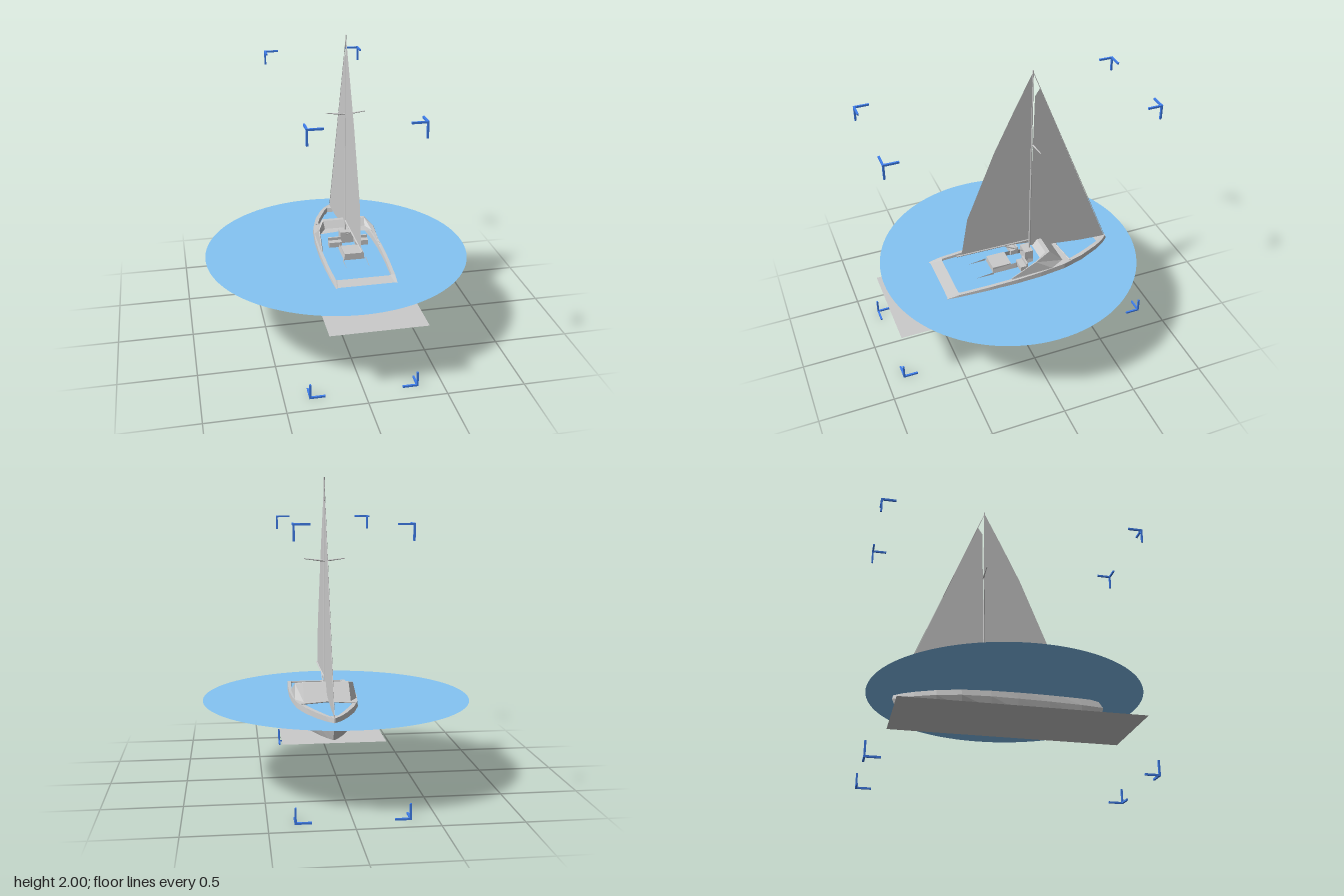
import * as THREE from 'three';

const material = (color) => new THREE.MeshStandardMaterial({ color, side: THREE.DoubleSide, flatShading: true });
const grey = material(0xcccccc);
const water = material(0x84c4f4);
const blue = material(0x4080f0);

function add(parent, name, geometry, mat = grey, pos = [0, 0, 0]) {
  const mesh = new THREE.Mesh(geometry, mat);
  mesh.name = name;
  mesh.position.set(...pos);
  parent.add(mesh);
  return mesh;
}

const box = (parent, name, size, pos, mat) => add(parent, name, new THREE.BoxGeometry(...size), mat, pos);

// Thin round bar between two points
function bar(parent, name, from, to, r1, r2 = r1) {
  const a = new THREE.Vector3(...from), b = new THREE.Vector3(...to);
  const dir = b.clone().sub(a);
  const mesh = add(parent, name, new THREE.CylinderGeometry(r2, r1, dir.length(), 8));
  mesh.position.copy(a).addScaledVector(dir, 0.5);
  mesh.quaternion.setFromUnitVectors(new THREE.Vector3(0, 1, 0), dir.normalize());
  return mesh;
}

// Mirror a half row of [x, y, z] points into a full row, +x side first
const mirrored = (half) => [...half, ...half.slice().reverse().map(([x, y, z]) => [-x, y, z])];

// Surface through rows of points
function loft(rows, closed = false) {
  const n = rows[0].length, index = [];
  for (let r = 0; r < rows.length - 1; r++) {
    for (let i = 0; i < (closed ? n : n - 1); i++) {
      const a = r * n + i, b = r * n + (i + 1) % n;
      index.push(a, b, a + n, b, b + n, a + n);
    }
  }
  const geo = new THREE.BufferGeometry();
  geo.setAttribute('position', new THREE.Float32BufferAttribute(rows.flat(2), 3));
  geo.setIndex(index);
  geo.computeVertexNormals();
  return geo;
}

// Flat sail from [z, y] points
function sail(points) {
  const geo = new THREE.ShapeGeometry(new THREE.Shape(points.map(([z, y]) => new THREE.Vector2(-z, y))));
  return geo.rotateY(Math.PI / 2);
}

function buildHull(boat) {
  // Per station, stern to bow: gunwale [half width, height, z], knuckle and bottom half widths
  const stations = [
    [0.195, 0.54, 0.60, 0.2, 0.19],
    [0.205, 0.565, 0.46, 0.215, 0.205],
    [0.216, 0.573, 0.25, 0.224, 0.212],
    [0.22, 0.58, 0.05, 0.225, 0.212],
    [0.213, 0.584, -0.12, 0.22, 0.2],
    [0.193, 0.586, -0.30, 0.2, 0.17],
    [0.15, 0.586, -0.45, 0.157, 0.12],
    [0.092, 0.584, -0.58, 0.095, 0.065],
    [0.05, 0.581, -0.65, 0.05, 0.03],
    [0.004, 0.578, -0.70, 0.004, 0.004],
  ];
  const last = stations.length - 1;
  const bottom = stations.map(([, , z, , w], i) => [w, 0.437, z + 0.02 * (1 - i / last) + 0.03 * (i / last) ** 6]);
  const knuckle = stations.map(([, , z, w], i) => [w, 0.5 + 0.025 * (i / last), z + 0.025 * (1 - i / last) - 0.01 * i / last]);
  const gunwale = stations.map(([w, y, z]) => [w, y, z]);
  const inner = stations.map(([w, y, z], i) => [
    i === last ? 0.025 : i === last - 1 ? 0.032 : w - (i > 5 ? 0.03 : 0.022),
    Math.max(y, 0.562), THREE.MathUtils.clamp(z, -0.635, 0.455 - 0.005 * i)]);
  const wall = inner.map(([w, , z]) => [w * 0.94, 0.5, Math.max(z, -0.61)]);
  add(boat, 'hull', loft([bottom, knuckle, gunwale, inner, wall].map(mirrored), true));

  // Stern drive
  const drive = new THREE.Group();
  drive.name = 'sternDrive';
  boat.add(drive);
  const fin = add(drive, 'driveFoot', new THREE.ConeGeometry(0.06, 0.06, 4), grey, [0, 0.465, 0.62]);
  fin.scale.set(1, 0.6, 0.6);
  box(drive, 'drivePost', [0.012, 0.04, 0.03], [0, 0.49, 0.635]);
}

function buildDeck(boat) {
  // Deck between the bow opening and the windscreen
  add(boat, 'foredeck', loft([
    mirrored([[0.172, 0.586, -0.35], [0.004, 0.592, -0.325]]),
    mirrored([[0.19, 0.586, -0.18], [0.004, 0.59, -0.20]]),
  ]));
  const beam = new THREE.Group();
  beam.name = 'crossBeam';
  boat.add(beam);
  for (const s of [-1, 1]) bar(beam, 'beamHalf', [s * 0.172, 0.587, -0.35], [0, 0.593, -0.325], 0.005);

  // Windscreen with swept-back wings and an inner return
  add(boat, 'windscreen', loft([
    [[0.206, 0.58, 0.09], [0.2, 0.582, -0.21], [0.15, 0.585, -0.305]],
    [[0.204, 0.588, 0.09], [0.192, 0.665, -0.09], [0.148, 0.69, -0.205]],
    [[0.2, 0.588, 0.09], [0.188, 0.667, -0.085], [0.146, 0.69, -0.175]],
    [[0.195, 0.585, 0.08], [0.18, 0.63, -0.09], [0.14, 0.645, -0.14]],
  ].map(mirrored)));

  // Centre console, narrow at the front
  add(boat, 'console', loft([
    [[0.06, 0.52, -0.13], [0.075, 0.52, 0.0], [0.075, 0.52, 0.17]],
    [[0.035, 0.6, -0.13], [0.065, 0.59, 0.0], [0.065, 0.58, 0.17]],
  ].map(mirrored)));
  box(boat, 'consoleFront', [0.09, 0.08, 0.06], [0, 0.6, -0.1]);
  box(boat, 'engineCover', [0.13, 0.06, 0.13], [0, 0.565, 0.105]);
  add(boat, 'sternBench', loft([
    [[0.078, 0.53, 0.17], [0.076, 0.53, 0.32]],
    [[0.078, 0.566, 0.17], [0.076, 0.547, 0.32]],
  ].map(mirrored)));

  // Side seats
  for (const s of [-1, 1]) {
    const seat = new THREE.Group();
    seat.name = s > 0 ? 'leftSeat' : 'rightSeat';
    boat.add(seat);
    box(seat, 'seatBase', [0.088, 0.035, 0.05], [s * 0.092, 0.583, -0.028]);
    box(seat, 'seatBack', [0.088, 0.04, 0.012], [s * 0.092, 0.6, -0.05]);
  }
}

function buildRig(boat) {
  bar(boat, 'mast', [0, 0.56, -0.12], [0, 2.0, -0.125], 0.007, 0.004);
  bar(boat, 'boom', [0, 0.705, -0.12], [0, 0.715, 0.4], 0.006);
  bar(boat, 'boomStrut', [0, 0.6, -0.11], [0, 0.7, 0.06], 0.004);
  bar(boat, 'forestay', [0, 1.99, -0.125], [0, 0.57, -0.697], 0.002);
  for (const s of [-1, 1]) {
    bar(boat, 'spreader', [0, 1.47, -0.13], [s * 0.132, 1.486, -0.13], 0.006, 0.003);
  }
  add(boat, 'mainSail', sail([[-0.125, 1.99], [0.0, 1.74], [0.13, 1.47], [0.32, 1.0], [0.368, 0.715], [0.2, 0.705], [0, 0.698], [-0.12, 0.68]]));
  add(boat, 'jib', sail([[-0.172, 1.87], [-0.14, 1.82], [-0.115, 0.655], [-0.3, 0.618], [-0.5, 0.59], [-0.69, 0.575]]));
}

export function createModel() {
  const model = new THREE.Group();
  model.name = 'sailboatScene';

  // Water disc and the flat panel beneath it
  add(model, 'waterDisc', new THREE.CircleGeometry(0.885, 96).rotateX(-Math.PI / 2), water, [0, 0.55, 0]);
  add(model, 'basePanel', new THREE.PlaneGeometry(0.62, 1.6).rotateX(-Math.PI / 2), grey, [0.09, 0.43, 0.09]);

  const boat = new THREE.Group();
  boat.name = 'sailboat';
  boat.position.x = 0.09;
  model.add(boat);
  buildHull(boat);
  buildDeck(boat);
  buildRig(boat);

  // Corner brackets of the surrounding frame
  const t = 0.012, len = 0.1;
  for (const sx of [-1, 1]) for (const sy of [-1, 1]) for (const sz of [-1, 1]) {
    const corner = new THREE.Group();
    corner.name = 'cornerBracket';
    corner.position.set(sx * 0.345, sy > 0 ? 1.735 : 0, sz * 0.89);
    model.add(corner);
    const s = [-sx, -sy, -sz];
    for (let axis = 0; axis < 3; axis++) {
      const size = [t, t, t];
      size[axis] = len;
      box(corner, 'bracketArm', size, size.map((d, i) => s[i] * d / 2), blue);
    }
  }
  return model;
}
